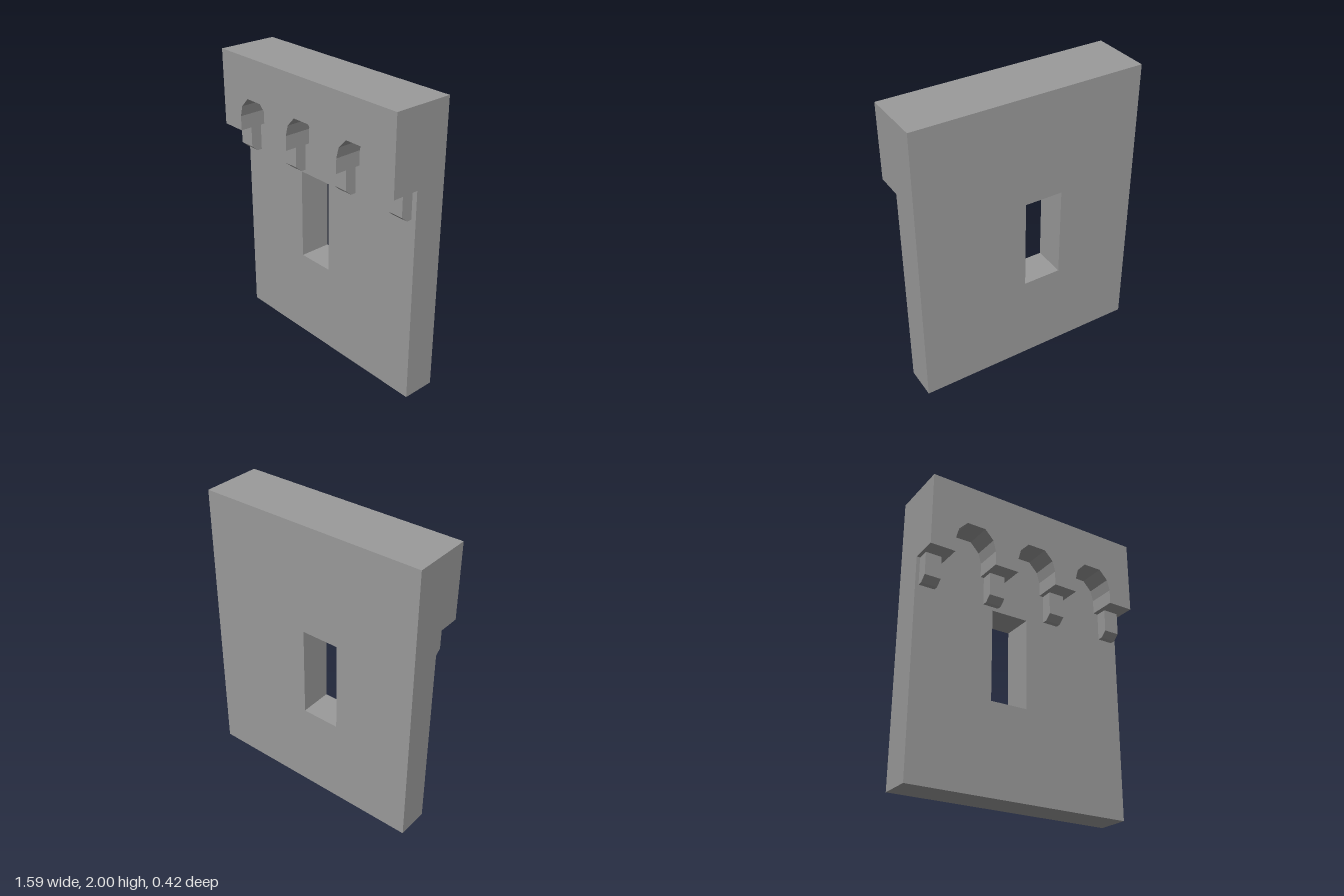
import * as THREE from 'three';

const material = new THREE.MeshStandardMaterial({ color: 0x9b9b9b, flatShading: true });
const points = (list) => list.map(([x, y]) => new THREE.Vector2(x, y));

// Extrudes an outline from z = back to z = front
function slab(name, shape, back, front) {
  const geometry = new THREE.ExtrudeGeometry(shape, { depth: front - back, bevelEnabled: false });
  geometry.translate(0, 0, back);
  const mesh = new THREE.Mesh(geometry, material);
  mesh.name = name;
  return mesh;
}

export function createModel() {
  const group = new THREE.Group();
  group.name = 'wallSection';
  const W = 0.797, wallBack = -0.207, wallFront = 0.02;

  // Wall with a window opening
  const wall = new THREE.Shape(points([[-W, 0], [W, 0], [W, 2], [-W, 2]]));
  wall.holes.push(new THREE.Path(points([[-0.23, 0.62], [-0.23, 1.256], [0.037, 1.256], [0.037, 0.62]])));
  group.add(slab('wall', wall, wallBack, wallFront));

  // Overhanging parapet with three faceted arches cut from its lower edge
  const arch = [[-0.148, 1.48], [-0.148, 1.58], [-0.128, 1.655], [-0.066, 1.72],
    [0.066, 1.72], [0.128, 1.655], [0.148, 1.58], [0.148, 1.48]];
  const outline = [[-W, 1.48]];
  for (const cx of [-0.474, -0.003, 0.467]) {
    for (const [x, y] of arch) outline.push([cx + x, y]);
  }
  outline.push([W, 1.48], [W, 2], [-W, 2]);
  group.add(slab('archedParapet', new THREE.Shape(points(outline)), wallFront, 0.21));

  // Chamfered corbels between the arches
  const profile = new THREE.Shape(points([[0.02, 1.282], [0.055, 1.282], [0.1, 1.32], [0.1, 1.48], [0.02, 1.48]]));
  [-0.717, -0.245, 0.23, 0.706].forEach((x, i) => {
    const corbel = slab('corbel' + (i + 1), profile, -0.056, 0.056);
    corbel.geometry.rotateY(-Math.PI / 2);
    corbel.position.x = x;
    group.add(corbel);
  });

  return group;
}
